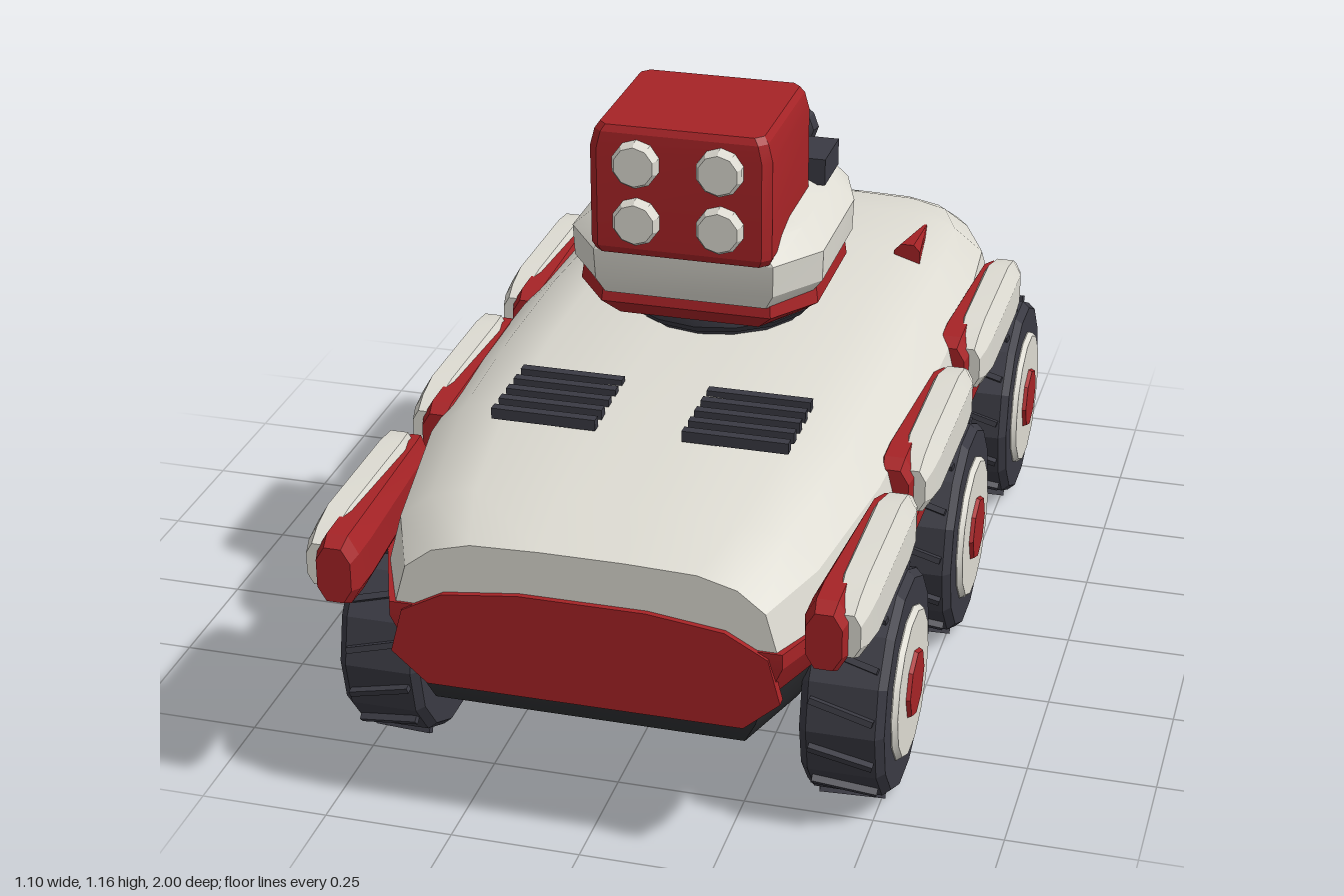
import * as THREE from 'three';
import { toCreasedNormals } from 'three/addons/utils/BufferGeometryUtils.js';

const mat = (name, color) => Object.assign(new THREE.MeshStandardMaterial({ color }), { name });

export function createModel() {
  const model = new THREE.Group();
  model.name = 'armouredRover';
  const white = mat('offWhite', 0xdddbd2), red = mat('red', 0xa62326), dark = mat('charcoal', 0x3a3a43);
  const under = mat('underbodyBlack', 0x2a2b2e), steel = mat('steelGrey', 0xb2b8bd);

  const add = (name, geo, material, parent = model) => {
    const m = new THREE.Mesh(geo, material);
    m.name = name;
    parent.add(m);
    return m;
  };

  // Closed skin over matching rings of [x, y, z]; winding is fixed by signed volume
  const loft = (rings, crease = 0.5) => {
    const n = rings[0].length, pts = rings.flat(), idx = [];
    for (let r = 0; r < rings.length - 1; r++) for (let i = 0; i < n; i++) {
      const j = (i + 1) % n, a = r * n + i, b = r * n + j;
      idx.push(a, b, b + n, a, b + n, a + n);
    }
    [0, rings.length - 1].forEach((r, end) => {
      const c = pts.length;
      pts.push([0, 1, 2].map(k => rings[r].reduce((s, p) => s + p[k], 0) / n));
      for (let i = 0; i < n; i++) {
        const a = r * n + i, b = r * n + (i + 1) % n;
        idx.push(c, end ? a : b, end ? b : a);
      }
    });
    const v = pts.map(p => new THREE.Vector3(...p));
    let vol = 0;
    for (let i = 0; i < idx.length; i += 3) vol += v[idx[i]].dot(v[idx[i + 1]].clone().cross(v[idx[i + 2]]));
    if (vol < 0) idx.reverse();
    const g = new THREE.BufferGeometry().setFromPoints(v);
    g.setIndex(idx);
    return toCreasedNormals(g, crease);
  };

  const mirror = half => [...half, ...half.map(([x, z]) => [-x, z]).reverse()];
  // Stack of one plan outline [x, z] at levels [y, xScale, zScale]
  const stack = (half, zc, levels, crease) => loft(levels.map(([y, sx, sz = sx]) =>
    mirror(half).map(([x, z]) => [x * sx, y, zc + (z - zc) * sz])), crease);
  const lathe = (profile, sides, crease = 0.4) => toCreasedNormals(
    new THREE.LatheGeometry(profile.map(p => new THREE.Vector2(...p)), sides), crease);

  // Upper shell: [z, half width, top height]
  const shell = [[0.945, 0.36, 0.6], [0.8, 0.425, 0.636], [0.5, 0.475, 0.676], [0.2, 0.485, 0.686], [-0.1, 0.485, 0.687],
    [-0.4, 0.475, 0.675], [-0.7, 0.445, 0.633], [-0.9, 0.37, 0.583], [-0.985, 0.33, 0.55]];
  add('upperShell', loft(shell.map(([z, w, top]) => {
    const h = top - 0.455, k = w / 0.485;
    return mirror([[w, 0], [w - 0.03 * k, 0.55], [w - 0.1 * k, 0.83], [w - 0.2 * k, 0.97], [0.08, 1]])
      .map(([x, t]) => [x, 0.455 + t * h, z]);
  })), white);

  // Red skirt and dark underbody
  const plan = [[0.37, 0.95], [0.44, 0.77], [0.495, 0.5], [0.495, -0.45], [0.46, -0.68], [0.335, -1]];
  add('skirt', stack(plan, 0, [[0.355, 0.91, 0.99], [0.43, 1], [0.46, 1]], 0.3), red);
  add('underbody', stack(plan, 0, [[0.215, 0.74, 0.85], [0.255, 0.8, 0.975], [0.3, 0.86, 0.985], [0.358, 0.9, 0.985]], 0.3), under);

  // Nose panel
  const noseHalf = [[0.12, 0.51], [0.265, 0.492], [0.345, 0.448], [0.368, 0.36], [0.3, 0.3]];
  add('nosePanel', loft([0.935, 0.956].map(z => mirror(noseHalf).map(([x, y]) => [x, y, z])), 0.3), red);

  // Tail lights
  for (let i = -2; i <= 2; i++) {
    const light = add('tailLight', new THREE.CylinderGeometry(0.018, 0.018, 0.016, 8), red);
    light.rotation.x = Math.PI / 2;
    light.position.set(i * 0.115, 0.5, -0.987);
  }

  const oct = (x, y, z, hx, hy) => [[1, 0.5], [0.5, 1], [-0.5, 1], [-1, 0.5], [-1, -0.5], [-0.5, -1], [0.5, -1], [1, -0.5]]
    .map(([a, b]) => [x + a * hx, y + b * hy, z]);

  for (const s of [1, -1]) {
    // Side pods: red backing with a white outer casing
    for (const z0 of [0.51, -0.05, -0.61]) {
      const pod = new THREE.Group();
      pod.name = 'sidePod';
      model.add(pod);
      add('podBacking', loft([[0.01, 0.47, 0.02, 0.05], [0.06, 0.465, 0.03, 0.062], [0.4, 0.455, 0.04, 0.072], [0.46, 0.455, 0.04, 0.07],
        [0.488, 0.455, 0.033, 0.055]].map(([z, x, hx, hy]) => oct(s * x, 0.527, z0 + z, hx, hy)), 0.3), red, pod);
      add('podCasing', loft([[0, 0.5, 0.02, 0.04], [0.04, 0.492, 0.035, 0.064], [0.1, 0.487, 0.042, 0.073], [0.37, 0.487, 0.042, 0.073],
        [0.43, 0.488, 0.036, 0.06], [0.465, 0.492, 0.024, 0.042]].map(([z, x, hx, hy]) => oct(s * x, 0.532, z0 + z, hx, hy)), 0.5), white, pod);
    }

    // Wheels
    for (const z of [0.61, -0.02, -0.65]) {
      const wheel = new THREE.Group();
      wheel.name = 'wheel';
      wheel.position.set(s * 0.45, 0.23, z);
      model.add(wheel);
      const axle = new THREE.Group();
      axle.name = 'axle';
      axle.rotation.z = -s * Math.PI / 2;
      wheel.add(axle);
      add('tyre', lathe([[0, -0.08], [0.205, -0.08], [0.218, -0.065], [0.218, 0.065], [0.205, 0.08], [0, 0.08]], 14, 0.3), dark, axle);
      add('hubDisc', lathe([[0, 0.07], [0.15, 0.07], [0.15, 0.082], [0.142, 0.092], [0, 0.092]], 14), white, axle);
      add('hubCap', lathe([[0, 0.09], [0.07, 0.09], [0.065, 0.1], [0, 0.1]], 8), red, axle);
      for (let i = 0; i < 14; i++) {
        const pivot = new THREE.Group();
        pivot.name = 'treadPivot';
        pivot.rotation.x = (i + 0.5) * Math.PI / 7;
        wheel.add(pivot);
        const bar = add('tread', new THREE.BoxGeometry(0.125, 0.012, 0.022), dark, pivot);
        bar.position.z = 0.215;
        bar.rotation.z = -s * 0.25;
      }
    }

    // Deck vents
    for (let i = 0; i < 5; i++) {
      const slat = add('ventSlat', new THREE.BoxGeometry(0.205, 0.022, 0.02), dark);
      slat.position.set(s * 0.187, 0.679, 0.4 + i * 0.0445);
    }

    // Deck fins: pointed wedges [x, half width, front z, tip z, top y, tip y]
    for (const [x, w, zf, zt, yf, yt] of [[0.312, 0.028, -0.375, -0.65, 0.692, 0.625], [0.15, 0.021, -0.38, -0.5, 0.692, 0.665]]) {
      const ring = (cx, hw, top, z) => [[-hw, -0.06], [hw, -0.06], [hw, -0.015], [hw * 0.5, 0], [-hw * 0.5, 0], [-hw, -0.015]]
        .map(([a, b]) => [s * (cx + a), top + b, z]);
      add('deckFin', loft([ring(x, w, yf, zf), ring(x - w * 0.5, w * 0.2, yt, zt)], 0.2), red);
    }
  }

  // Turret
  const turret = new THREE.Group();
  turret.name = 'turret';
  model.add(turret);
  const ring = add('turretRing', lathe([[0, 0.67], [0.17, 0.67], [0.18, 0.694], [0.195, 0.7], [0.207, 0.715], [0.207, 0.735], [0.165, 0.755], [0, 0.755]], 16), dark, turret);
  ring.position.z = -0.03;
  ring.scale.z = 1.06;
  const turretPlan = [[0.18, 0.275], [0.255, 0.17], [0.255, -0.1], [0.215, -0.22], [0.11, -0.34]];
  add('turretBase', stack(turretPlan, -0.03, [[0.75, 0.78, 0.85], [0.783, 0.95, 0.94], [0.82, 0.93, 0.92]], 0.3), red, turret);
  add('turretBody', stack(turretPlan, -0.03, [[0.805, 0.9, 0.95], [0.835, 0.99, 0.98], [0.9, 1], [0.94, 0.82, 0.95], [0.96, 0.66, 0.84]], 0.45), white, turret);
  add('sight', new THREE.BoxGeometry(0.125, 0.055, 0.12), dark, turret).position.set(0.145, 0.976, -0.1);

  // Rocket launcher
  add('launcherBox', stack([[0.163, 0.3], [0.18, 0.283], [0.18, -0.013], [0.163, -0.03]], 0.135,
    [[0.905, 0.96], [0.92, 1], [1.12, 1], [1.155, 0.95, 0.985], [1.168, 0.9, 0.94]], 0.3), red, turret);
  for (const x of [-0.083, 0.083]) for (const y of [0.98, 1.098]) {
    const tube = add('rocketTube', lathe([[0, -0.192], [0.04, -0.192], [0.047, -0.182], [0.047, 0.182], [0.04, 0.192], [0, 0.192]], 10), white, turret);
    tube.rotation.x = -Math.PI / 2;
    tube.position.set(x, y, 0.132);
    const nozzle = add('nozzle', new THREE.CylinderGeometry(0.032, 0.032, 0.006, 10), under, turret);
    nozzle.rotation.x = Math.PI / 2;
    nozzle.position.set(x, y, -0.061);
  }

  // Rear gun, turned along -z
  const gun = new THREE.Group();
  gun.name = 'rearGun';
  gun.position.y = 0.885;
  gun.rotation.x = -Math.PI / 2;
  turret.add(gun);
  add('gunHousing', lathe([[0, 0.08], [0.05, 0.13], [0.09, 0.19], [0.112, 0.25], [0.112, 0.3], [0.092, 0.36], [0.065, 0.41], [0, 0.425]], 14, 0.7), steel, gun);
  add('gunCollar', lathe([[0, 0.39], [0.055, 0.39], [0.055, 0.425], [0.035, 0.445], [0, 0.445]], 10), white, gun);
  add('collarBand', new THREE.BoxGeometry(0.135, 0.035, 0.05), red, gun).position.set(0, 0.425, 0);
  add('barrel', lathe([[0, 0.42], [0.028, 0.42], [0.028, 0.49], [0, 0.49]], 10), white, gun);
  const muzzle = add('muzzle', lathe([[0, 0.47], [0.035, 0.472], [0.058, 0.49], [0.062, 0.515], [0.05, 0.532], [0, 0.532]], 12), dark, gun);
  muzzle.scale.x = 1.35;

  return model;
}
